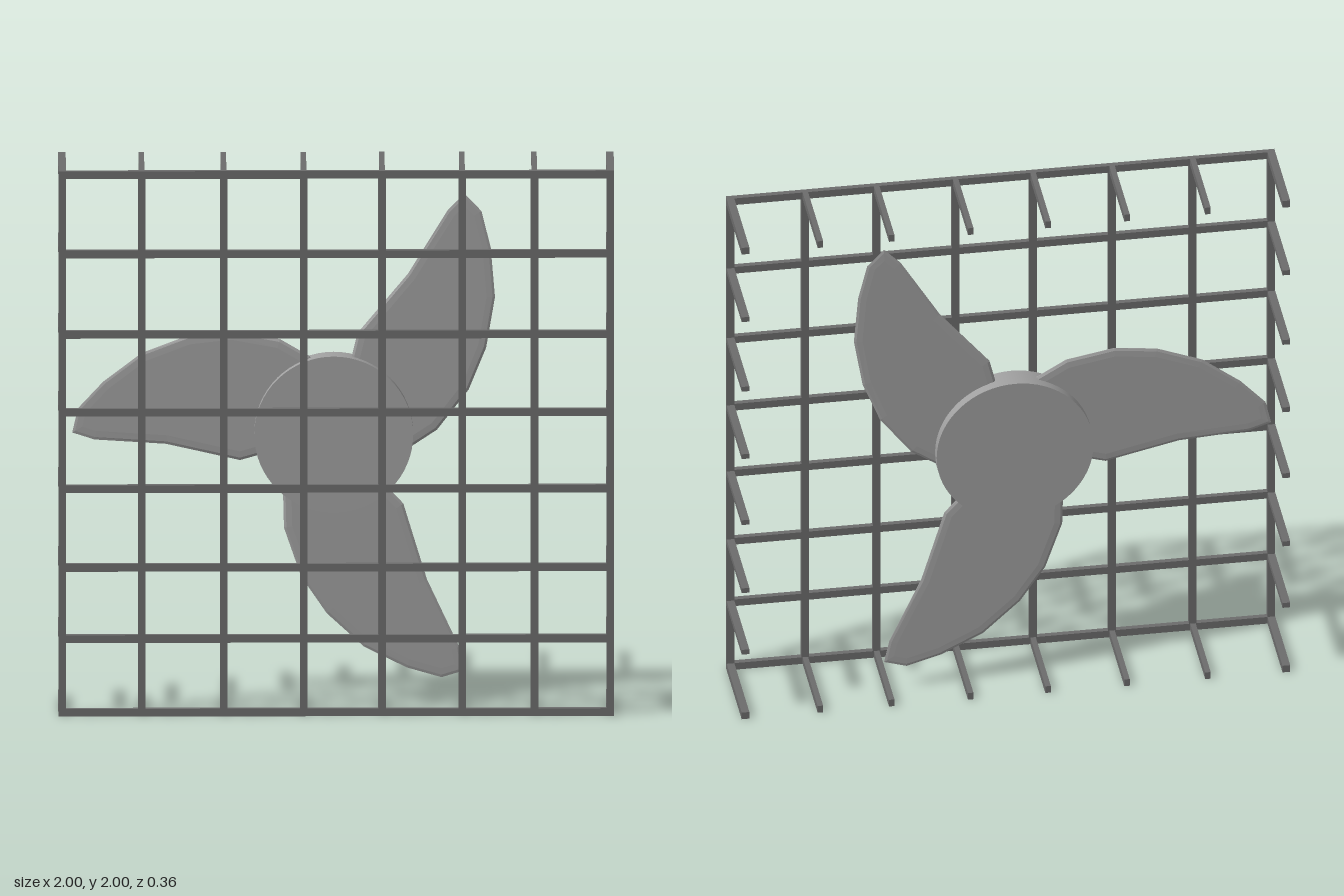
import * as THREE from 'three';

export function createModel() {
  const model = new THREE.Group();
  const guardGrey = new THREE.MeshStandardMaterial({ color: 0x6c6c6c });
  const fanGrey = new THREE.MeshStandardMaterial({ color: 0xa0a0a0 });
  const bladeGrey = new THREE.MeshStandardMaterial({ color: 0xa0a0a0, flatShading: true });

  const add = (parent, name, geometry, material, x, y, z) => {
    const mesh = new THREE.Mesh(geometry, material);
    mesh.name = name;
    mesh.position.set(x, y, z);
    parent.add(mesh);
    return mesh;
  };

  // Guard: front grid, with prongs running back from its border
  const guard = new THREE.Group();
  guard.name = 'guard';
  model.add(guard);
  const xs = [-0.986, -0.7, -0.405, -0.117, 0.165, 0.453, 0.713, 0.986];
  const ys = [0.014, 0.284, 0.545, 0.834, 1.114, 1.4, 1.695, 1.986];
  const W = 0.028, T = 0.02, FRONT = 0.178, DEPTH = 0.356;
  const bar = (name, w, h, d, x, y, z) =>
    add(guard, name, new THREE.BoxGeometry(w, h, d), guardGrey, x, y, z);
  for (const x of xs) bar('verticalBar', W, 2, T, x, 1, FRONT - T / 2);
  for (const y of ys) bar('horizontalBar', 2, W, T, 0, y, FRONT - T / 2);
  xs.forEach((x, i) => {
    const corner = i === 0 || i === xs.length - 1;
    for (const y of [ys[0], ys[7]]) bar('prong', corner ? W : T, W, DEPTH, x, y, 0);
  });
  for (const y of ys.slice(1, -1)) {
    for (const x of [xs[0], xs[7]]) bar('sideProng', W, T, DEPTH, x, y, 0);
  }

  // Propeller hub
  const hub = new THREE.CylinderGeometry(0.286, 0.286, 0.09, 64).rotateX(Math.PI / 2);
  add(model, 'hub', hub, fanGrey, -0.008, 0.994, -0.065);

  // Curved blade with thinned edges
  const outline = [
    [-0.05, 0.2], [-0.086, 0.26], [-0.193, 0.318], [-0.369, 0.348], [-0.524, 0.331],
    [-0.69, 0.272], [-0.829, 0.174], [-0.92, 0.083], [-0.941, 0], [-0.861, -0.024],
    [-0.604, -0.039], [-0.46, -0.069], [-0.337, -0.095], [-0.262, -0.075], [-0.1, 0],
  ].map(([x, y]) => new THREE.Vector2(x, y));
  const bladeGeometry = new THREE.ExtrudeGeometry(new THREE.Shape(outline), {
    depth: 0.002, bevelThickness: 0.006, bevelSize: 0.03, bevelOffset: -0.03, bevelSegments: 2,
  }).translate(0, 0, -0.001);

  // Blade grows thinner towards its tip
  const points = bladeGeometry.attributes.position;
  for (let i = 0; i < points.count; i++) {
    points.setZ(i, points.getZ(i) * (1.3 + 0.9 * points.getX(i)));
  }
  bladeGeometry.computeVertexNormals();

  // Three blades, slightly taller than wide
  const blades = new THREE.Group();
  blades.name = 'blades';
  blades.position.set(-0.008, 0.994, -0.065);
  blades.scale.y = 1.073;
  model.add(blades);
  for (let i = 0; i < 3; i++) {
    add(blades, 'blade', bladeGeometry, bladeGrey, 0, 0, 0).rotation.z = (i * 2 * Math.PI) / 3;
  }

  return model;
}
